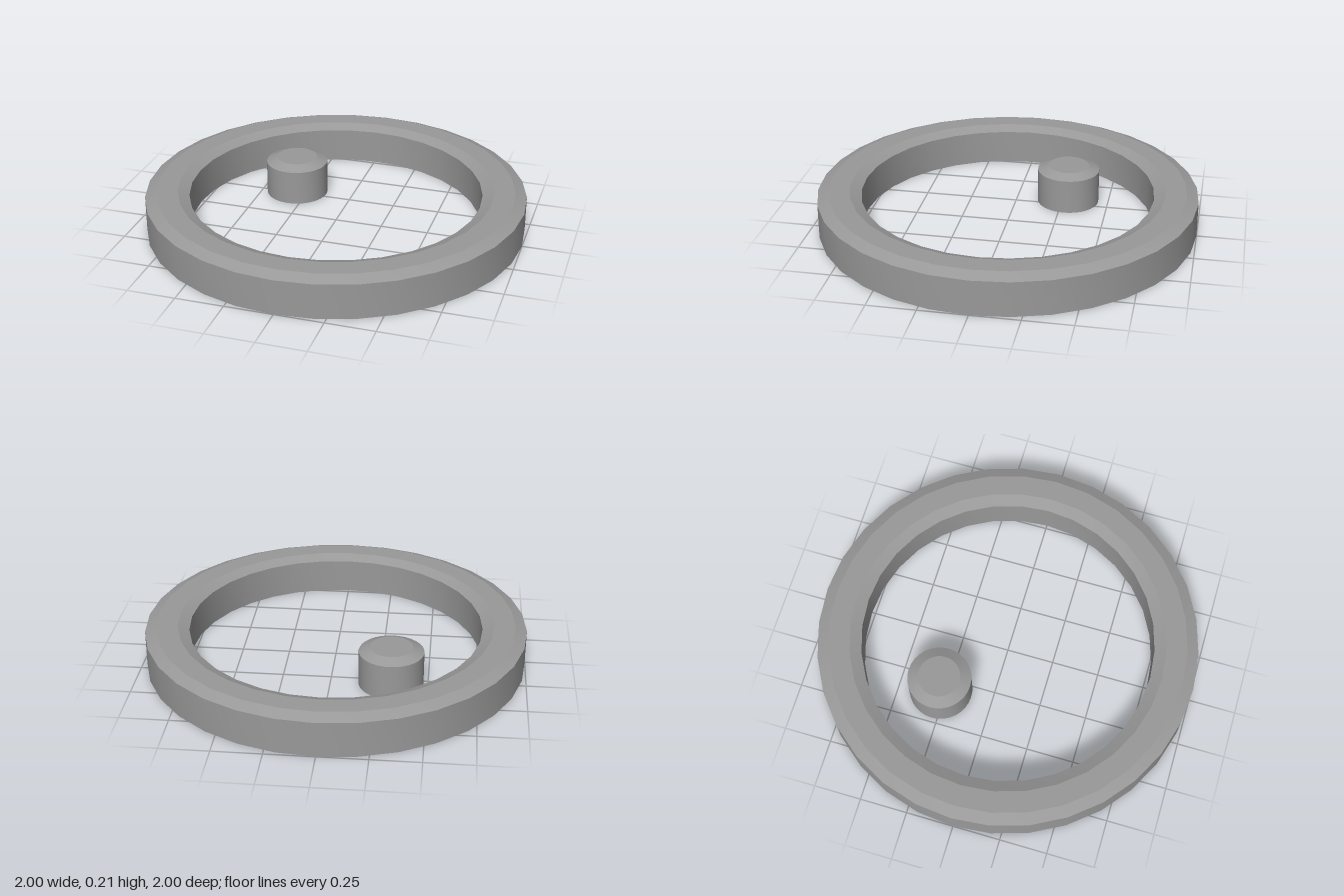
import * as THREE from 'three';
import { toCreasedNormals } from 'three/addons/utils/BufferGeometryUtils.js';

const SEGMENTS = 32;
const SHOULDER = 0.185; // height where the chamfer begins
const TOP = 0.21;

// Revolved solid with smooth walls and sharp chamfer edges
function turned(name, profile, material) {
  const points = profile.map(([r, y]) => new THREE.Vector2(r, y));
  const geometry = toCreasedNormals(new THREE.LatheGeometry(points, SEGMENTS), 0.3);
  const mesh = new THREE.Mesh(geometry, material);
  mesh.name = name;
  return mesh;
}

export function createModel() {
  const model = new THREE.Group();
  model.name = 'ringAndPeg';
  const material = new THREE.MeshStandardMaterial({ color: 0x999999 });

  // Outer ring, chamfered on both top edges
  const ring = turned('ring', [
    [0.77, 0], [1, 0], [1, SHOULDER], [0.94, TOP],
    [0.83, TOP], [0.77, SHOULDER], [0.77, 0],
  ], material);

  // Small round peg standing off-centre inside the ring
  const peg = turned('peg', [
    [0, 0], [0.167, 0], [0.167, SHOULDER], [0.11, TOP], [0, TOP],
  ], material);
  peg.position.set(-0.31, 0, -0.28);

  model.add(ring, peg);
  return model;
}
